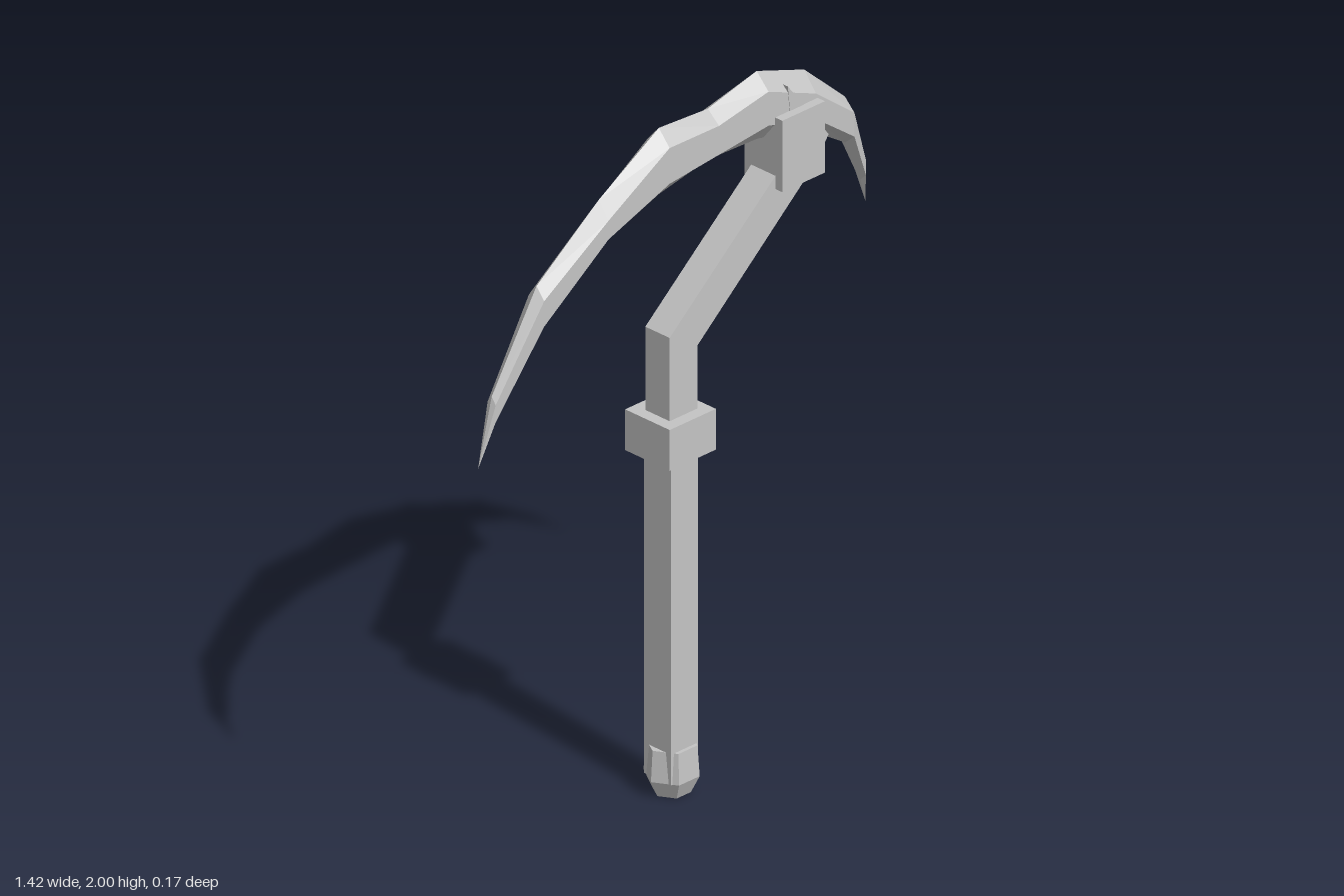
import * as THREE from 'three';

const steel = new THREE.MeshStandardMaterial({ color: 0xc4c4c4, flatShading: true });
steel.name = 'grey';

function part(name, geometry, x = 0, y = 0, z = 0) {
  const mesh = new THREE.Mesh(geometry, steel);
  mesh.name = name;
  mesh.position.set(x, y, z);
  return mesh;
}

// Curved blade: six-sided sections of [x, spine y, upper ridge y, lower ridge y, edge y, half thickness]
function bladeGeometry() {
  const sections = [
    [-0.715, 1.205, 1.205, 1.205, 1.205, 0],
    [-0.665, 1.40, 1.38, 1.33, 1.31, 0.015],
    [-0.50, 1.665, 1.63, 1.555, 1.53, 0.028],
    [-0.27, 1.835, 1.785, 1.73, 1.70, 0.035],
    [-0.05, 1.965, 1.92, 1.815, 1.77, 0.04],
    [0.13, 1.955, 1.92, 1.835, 1.805, 0.042],
    [0.31, 2.0, 1.955, 1.855, 1.80, 0.044],
    [0.485, 1.94, 1.885, 1.81, 1.765, 0.043],
    [0.635, 1.805, 1.77, 1.70, 1.67, 0.035],
    [0.692, 1.62, 1.605, 1.56, 1.54, 0.02],
    [0.71, 1.47, 1.47, 1.47, 1.47, 0],
  ];
  const rings = sections.map(([x, top, hi, lo, edge, t]) => [
    [x, top, 0], [x, hi, t], [x, lo, t], [x, edge, 0], [x, lo, -t], [x, hi, -t],
  ]);
  const positions = [];
  for (let i = 0; i < rings.length - 1; i++) {
    for (let j = 0; j < 6; j++) {
      const k = (j + 1) % 6;
      const a = rings[i][j], b = rings[i + 1][j], c = rings[i + 1][k], d = rings[i][k];
      // End rings collapse to a point, so only one triangle is needed there
      if (i > 0) positions.push(...a, ...d, ...c);
      if (i < rings.length - 2) positions.push(...a, ...c, ...b);
      else positions.splice(positions.length, 0);
      if (i === 0) positions.push(...a, ...d, ...c);
    }
  }
  const geometry = new THREE.BufferGeometry();
  geometry.setAttribute('position', new THREE.Float32BufferAttribute(positions, 3));
  geometry.computeVertexNormals();
  return geometry;
}

// Upper shaft bending towards the blade, with a flared end inside the clamp
function bentArmGeometry() {
  const outline = [
    [-0.055, 1.05], [0.047, 1.05], [0.047, 1.305], [0.485, 1.685],
    [0.53, 1.75], [0.38, 1.945], [0.40, 1.755],
  ];
  const shape = new THREE.Shape(outline.map(([x, y]) => new THREE.Vector2(x, y)));
  shape.lineTo(-0.055, 1.365);
  shape.closePath();
  return new THREE.ExtrudeGeometry(shape, { depth: 0.09, bevelEnabled: false }).translate(0, 0, -0.045);
}

// Six-sided cap, tapering below its widest ring
function pommelGeometry() {
  const profile = [[0, 0], [0.052, 0], [0.076, 0.05], [0.07, 0.14], [0, 0.14]];
  return new THREE.LatheGeometry(profile.map(([r, y]) => new THREE.Vector2(r, y)), 6, Math.PI / 2);
}

export function createModel() {
  const model = new THREE.Group();
  model.name = 'scythe';
  model.add(
    part('blade', bladeGeometry()),
    part('bentArm', bentArmGeometry()),
    part('handle', new THREE.BoxGeometry(0.1, 1.0, 0.1), -0.005, 0.55, 0),
    part('collar', new THREE.BoxGeometry(0.17, 0.12, 0.165), -0.005, 1.06, -0.002),
    part('bladeClamp', new THREE.BoxGeometry(0.157, 0.21, 0.14), 0.413, 1.765, 0),
    part('pommel', pommelGeometry(), -0.003, 0, 0),
  );
  return model;
}
